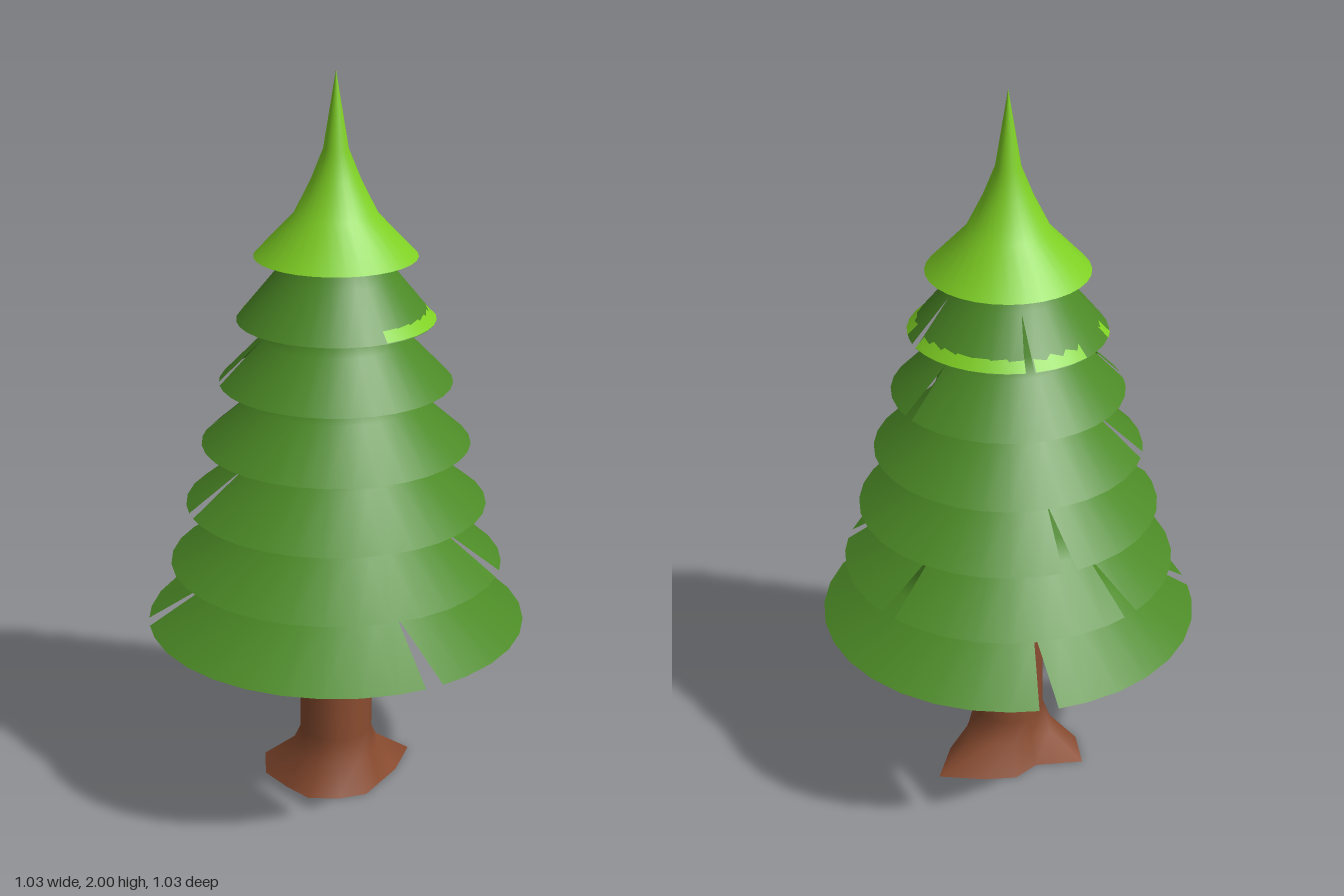
import * as THREE from 'three';
import { mergeVertices } from 'three/addons/utils/BufferGeometryUtils.js';

const SIDES = 32;
const STEP = (Math.PI * 2) / SIDES;

function material(name, color) {
  const m = new THREE.MeshStandardMaterial({ color, side: THREE.DoubleSide });
  m.name = name;
  return m;
}

// Skin a stack of closed rings; each ring is an equally long list of [x, y, z]
function skin(rings) {
  const n = rings[0].length;
  const index = [];
  for (let k = 0; k < rings.length - 1; k++) {
    for (let j = 0; j < n; j++) {
      const a = k * n + j, b = k * n + ((j + 1) % n);
      index.push(a, b, b + n, a, b + n, a + n);
    }
  }
  const g = new THREE.BufferGeometry();
  g.setAttribute('position', new THREE.Float32BufferAttribute(rings.flat(2), 3));
  g.setIndex(index);
  const merged = mergeVertices(g, 1e-4);
  // Drop the triangles that close the notches or have no area
  const p = merged.attributes.position;
  const kept = [];
  const old = merged.index.array;
  for (let i = 0; i < old.length; i += 3) {
    const [a, b, c] = [old[i], old[i + 1], old[i + 2]];
    if (a === b || b === c || a === c) continue;
    const narrow = Math.hypot(p.getX(a) - p.getX(b), p.getZ(a) - p.getZ(b)) < 0.11 * Math.hypot(p.getX(a), p.getZ(a));
    if (merged.userData.skip !== false && narrow && p.getY(a) === p.getY(b)) continue;
    kept.push(a, b, c);
  }
  merged.setIndex(kept);
  merged.computeVertexNormals();
  return merged;
}

const at = (r, y, a) => [r * Math.sin(a), y, r * Math.cos(a)];

// Open branch skirt whose rim is split into a narrow slit at the notched sides
function skirt(radius, y, height, notches) {
  const profile = [[1, 0], [0.625, 0.12], [0.54, 0.17], [height < 0.3 ? 0.48 : 0.46, height]];
  const rings = profile.map(([f, dy], k) => {
    const ring = [];
    for (let j = 0; j < SIDES; j++) {
      const half = k === 0 && notches.includes(j) ? 0.05 : 0;
      ring.push(at(radius * f, y + dy, j * STEP - half), at(radius * f, y + dy, j * STEP + half));
    }
    return ring;
  });
  return skin(rings);
}

export function createModel() {
  const tree = new THREE.Group();
  tree.name = 'pineTree';
  const green = material('needleGreen', 0x4c8a26);
  const lime = material('tipLime', 0x7fd024);
  const brown = material('barkBrown', 0x8a4c30);

  const add = (name, geometry, mat) => {
    const mesh = new THREE.Mesh(geometry, mat);
    mesh.name = name;
    tree.add(mesh);
  };

  // Trunk with uneven root flare
  const roots = [0.17, 0.155, 0.155, 0.14, 0.17, 0.25, 0.18, 0.16, 0.13, 0.23, 0.2, 0.165];
  const trunkRings = [[0, 1], [0.08, 0.25], [0.15, 0], [0.85, 0]].map(([y, flare]) =>
    roots.map((r, j) => at(0.1 + (r - 0.1) * flare, y, (j * Math.PI) / 6)));
  add('trunk', skin(trunkRings), brown);

  // Six branch tiers: rim radius and notched sides
  const tiers = [
    [0.515, [5, 19, 27]],
    [0.45, [9, 14, 22]],
    [0.405, [20, 28]],
    [0.36, [25]],
    [0.31, [13, 27]],
    [0.262, [12, 19]],
  ];
  tiers.forEach(([radius, notches], i) => {
    add('branchTier' + (i + 1), skirt(radius, 0.5 + i * 0.17, i === 5 ? 0.2 : 0.3, notches), green);
  });

  // Bright patches along the rim of the highest green tier
  const band = [[0.264, 1.353], [0.232, 1.385]].map(([r, y]) => new THREE.Vector2(r, y));
  [[5, 10.8], [12.3, 18.8], [19.3, 22.3], [24.8, 25.5]].forEach(([from, to], i) => {
    const segments = Math.ceil(to - from);
    add('rimPatch' + (i + 1), new THREE.LatheGeometry(band, segments, from * STEP, (to - from) * STEP), lime);
  });

  // Pointed crown
  const crown = [[0.215, 1.52], [0.11, 1.63], [0.065, 1.72], [0.033, 1.8], [0, 2]]
    .map(([r, y]) => new THREE.Vector2(r, y));
  add('crown', new THREE.LatheGeometry(crown, SIDES), lime);

  return tree;
}
